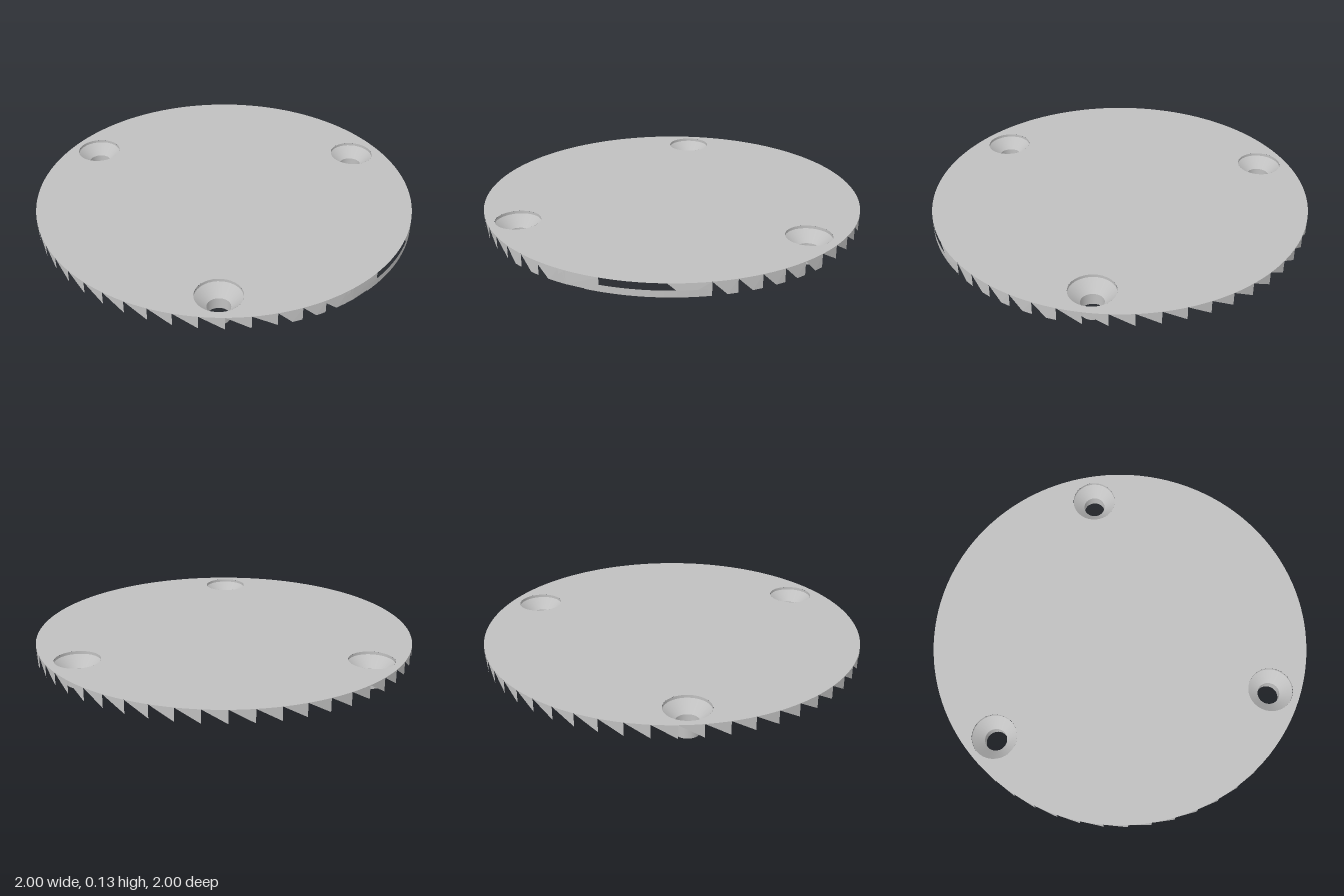
import * as THREE from 'three';

const TOP = 0.13, LOW = 0.06, INNER = 0.094;
const bosses = [[-0.15, -0.835], [0.79, 0.285], [-0.65, 0.54]];

export function createModel() {
  const model = new THREE.Group();
  model.name = 'coverPlate';
  const metal = new THREE.MeshStandardMaterial({ color: 0xc0c0c0, side: THREE.DoubleSide });
  metal.name = 'plain grey';

  const add = (geometry, name, parent = model) => {
    const mesh = new THREE.Mesh(geometry, metal);
    mesh.name = name;
    parent.add(mesh);
    return mesh;
  };

  // Round top sheet with three screw holes
  const disc = new THREE.Shape().absarc(0, 0, 1, 0, Math.PI * 2, false);
  for (const [x, z] of bosses) {
    disc.holes.push(new THREE.Path().absarc(x, -z, 0.117, 0, Math.PI * 2, true));
  }
  add(new THREE.ShapeGeometry(disc, 64).rotateX(-Math.PI / 2), 'topPlate').position.y = TOP;

  // Angular recessed panel on the underside, notched around the bosses
  const corners = [[0.82, -0.44], [0.70, -0.60], [-0.17, -0.68], [-0.86, -0.32], [-0.91, -0.15],
    [-0.57, 0.46], [-0.11, 0.91], [0.48, 0.79], [0.70, 0.20]];
  const panel = new THREE.Shape(corners.map(([x, z]) => new THREE.Vector2(x, -z)));
  add(new THREE.ShapeGeometry(panel).rotateX(Math.PI / 2).scale(1, 1, -1), 'undersidePanel').position.y = INNER;

  // Countersunk bosses: lip, cone and hollow post
  bosses.forEach(([x, z], i) => {
    const boss = new THREE.Group();
    boss.name = 'screwBoss' + (i + 1);
    boss.position.set(x, 0, z);
    const ring = (rTop, rBottom, yTop, yBottom, name) => {
      const g = new THREE.CylinderGeometry(rTop, rBottom, yTop - yBottom, 32, 1, true);
      add(g, name, boss).position.y = (yTop + yBottom) / 2;
    };
    ring(0.117, 0.117, TOP, 0.115, 'bossLip');
    ring(0.117, 0.058, 0.115, LOW, 'countersink');
    ring(0.058, 0.058, LOW, 0, 'bossPost');
    model.add(boss);
  });

  // Saw teeth round the rim; each slopes from its top left down to a tip at its right
  const points = [];
  const at = (a, y) => [Math.sin(a), y, Math.cos(a)];
  const tooth = (a0, a1, flat) => {
    const tl = at(a0, TOP), tr = at(a1, TOP);
    const bl = at(a1 - flat, LOW), br = at(a1, LOW);
    points.push(...tl, ...bl, ...tr);
    if (flat > 0) points.push(...bl, ...br, ...tr);
  };
  const start = 0.48, end = Math.PI * 2 - 0.24, count = 46;
  const step = (end - start) / count;
  for (let i = 0; i < count; i++) {
    const wide = i < 5 || i > count - 4;
    tooth(start + i * step, start + (i + 1) * step, wide ? 0.05 : 0);
  }
  // Wider wall pieces on both sides of the front slot
  tooth(-0.38, -0.2, 0.1);
  tooth(-0.22, -0.03, 0.17);
  tooth(0.28, 0.48, 0.12);
  const teeth = new THREE.BufferGeometry();
  teeth.setAttribute('position', new THREE.Float32BufferAttribute(points, 3));
  teeth.computeVertexNormals();
  add(teeth, 'rimTeeth');

  // Low bar closing the bottom of the front slot
  add(new THREE.CylinderGeometry(1, 1, INNER - LOW, 16, 1, true, -0.1, 0.56), 'frontSlotBar')
    .position.y = (INNER + LOW) / 2;

  return model;
}
